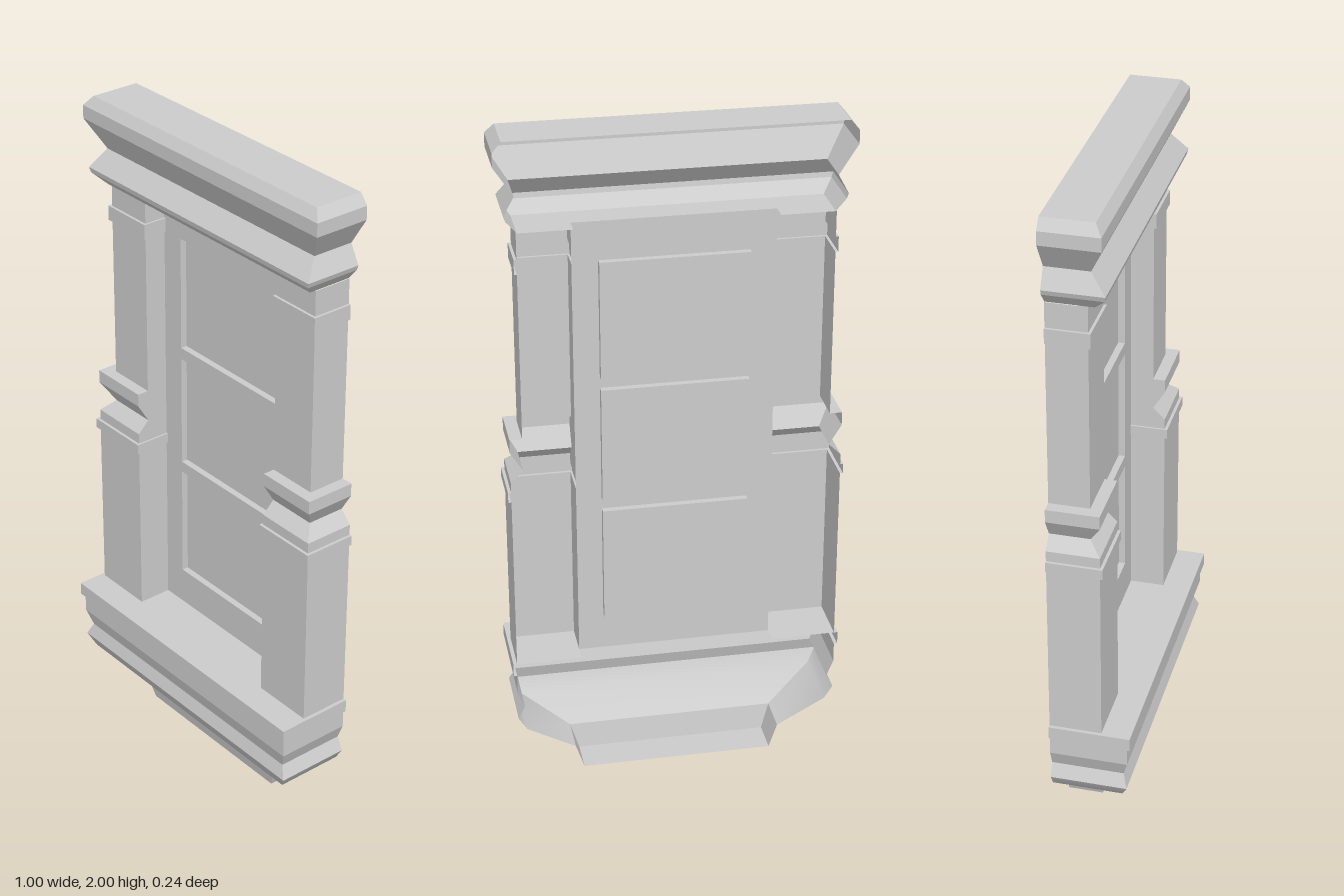
import * as THREE from 'three';
import { toCreasedNormals } from 'three/addons/utils/BufferGeometryUtils.js';

const BACK = -0.12;      // rear plane of the open shell
const PANEL_Z = -0.07;   // plane of the central panel
const INNER_X = 0.287;   // inner face of the pillars

const material = new THREE.MeshStandardMaterial({ color: 0xcccccc, side: THREE.DoubleSide });

function addMesh(parent, name, geometry) {
  const mesh = new THREE.Mesh(geometry, material);
  mesh.name = name;
  parent.add(mesh);
  return mesh;
}

// Skins a stack of open cross-sections, each a list of [x, y, z]
function loft(sections, crease = 0.1) {
  const n = sections[0].length;
  const index = [];
  for (let i = 0; i < sections.length - 1; i++) {
    for (let j = 0; j < n - 1; j++) {
      const a = i * n + j, b = a + 1, c = b + n, d = a + n;
      index.push(a, b, c, a, c, d);
    }
  }
  const geometry = new THREE.BufferGeometry();
  geometry.setAttribute('position', new THREE.Float32BufferAttribute(sections.flat(2), 3));
  geometry.setIndex(index);
  return toCreasedNormals(geometry, crease);
}

// Moulding around both sides and the front; profile rows are [y, halfWidth, frontZ]
function moulding(profile, crease) {
  return loft(profile.map(([y, x, z]) => [[-x, y, BACK], [-x, y, z], [x, y, z], [x, y, BACK]]), crease);
}

// Horizontal plate from a list of [x, z] corners
function plate(y, corners) {
  const shape = new THREE.Shape(corners.map(([x, z]) => new THREE.Vector2(x, -z)));
  return new THREE.ShapeGeometry(shape).rotateX(-Math.PI / 2).translate(0, y, 0);
}

const rectangle = (x, z) => [[-x, z], [x, z], [x, BACK], [-x, BACK]];

// Plate outline that steps forward to the panel between the pillars
const notched = (x, z) => [
  [-x, z], [x, z], [x, BACK], [INNER_X, BACK], [INNER_X, PANEL_Z],
  [-INNER_X, PANEL_Z], [-INNER_X, BACK], [-x, BACK],
];

// Box without its front face, used for a sunken pane
function tray(w, h, d) {
  const box = new THREE.BoxGeometry(w, h, d);
  const index = Array.from(box.index.array);
  index.splice(24, 6);
  box.setIndex(index);
  box.clearGroups();
  return box;
}

export function createModel() {
  const model = new THREE.Group();
  model.name = 'windowBay';

  // Cornice
  const cornice = new THREE.Group();
  cornice.name = 'cornice';
  model.add(cornice);
  addMesh(cornice, 'corniceMoulding', moulding([
    [1.74, 0.44, 0.015], [1.775, 0.47, 0.05], [1.79, 0.475, 0.053], [1.845, 0.445, 0.008],
    [1.93, 0.5, 0.05], [1.97, 0.5, 0.05], [2, 0.475, 0.03],
  ]));
  addMesh(cornice, 'corniceTop', plate(2, rectangle(0.475, 0.03)));
  addMesh(cornice, 'corniceSoffit', plate(1.74, notched(0.44, 0.015)));

  // Base with its ledge and corbel
  const base = new THREE.Group();
  base.name = 'base';
  model.add(base);
  addMesh(base, 'baseMoulding', moulding([
    [0.195, 0.48, 0.108], [0.235, 0.46, 0.095], [0.285, 0.48, 0.11], [0.345, 0.48, 0.11],
    [0.345, 0.49, 0.12], [0.385, 0.49, 0.12],
  ]));
  addMesh(base, 'corbel', moulding([[0.075, 0.31, 0], [0.155, 0.455, 0.09], [0.195, 0.48, 0.108]], 0.6));
  addMesh(base, 'corbelFoot', moulding([[0, 0.285, -0.015], [0.075, 0.31, 0]]));
  addMesh(base, 'baseUnderside', plate(0, rectangle(0.285, -0.015)));
  addMesh(base, 'ledgeTop', plate(0.385, notched(0.49, 0.12)));

  // Pillars: rows are [y, outward offset, inner offset]
  const pillarRows = [
    [0.385, 0.036, 0], [0.925, 0.036, 0], [0.925, 0.045, 0.006], [0.955, 0.045, 0.006],
    [0.955, 0.036, 0], [0.987, 0.036, 0], [1.023, 0, 0], [1.082, 0.036, 0], [1.122, 0.036, 0],
    [1.122, 0, 0], [1.62, 0, 0], [1.62, 0.008, 0.006], [1.665, 0.008, 0.006], [1.665, 0, 0], [1.74, 0, 0],
  ];
  const pillarGeometry = loft(pillarRows.map(([y, o, i]) => [
    [INNER_X - i, y, PANEL_Z], [INNER_X - i, y, o - 0.002], [0.443 + o, y, o - 0.002], [0.443 + o, y, BACK],
  ]));
  for (const [name, side] of [['leftPillar', 1], ['rightPillar', -1]]) {
    addMesh(model, name, pillarGeometry).scale.x = side;
  }

  // Central panel with three sunken panes
  const panes = [[0.5, 0.853], [0.888, 1.238], [1.274, 1.625]];
  const paneX = 0.213, paneDepth = 0.02;
  const outline = (x, y0, y1) => [[-x, y0], [x, y0], [x, y1], [-x, y1]].map((p) => new THREE.Vector2(...p));
  const panel = new THREE.Shape(outline(INNER_X, 0.385, 1.74));
  for (const [y0, y1] of panes) panel.holes.push(new THREE.Path(outline(paneX, y0, y1)));
  addMesh(model, 'panel', new THREE.ShapeGeometry(panel)).position.z = PANEL_Z;
  for (const [y0, y1] of panes) {
    addMesh(model, 'windowPane', tray(2 * paneX, y1 - y0, paneDepth))
      .position.set(0, (y0 + y1) / 2, PANEL_Z - paneDepth / 2);
  }

  return model;
}
